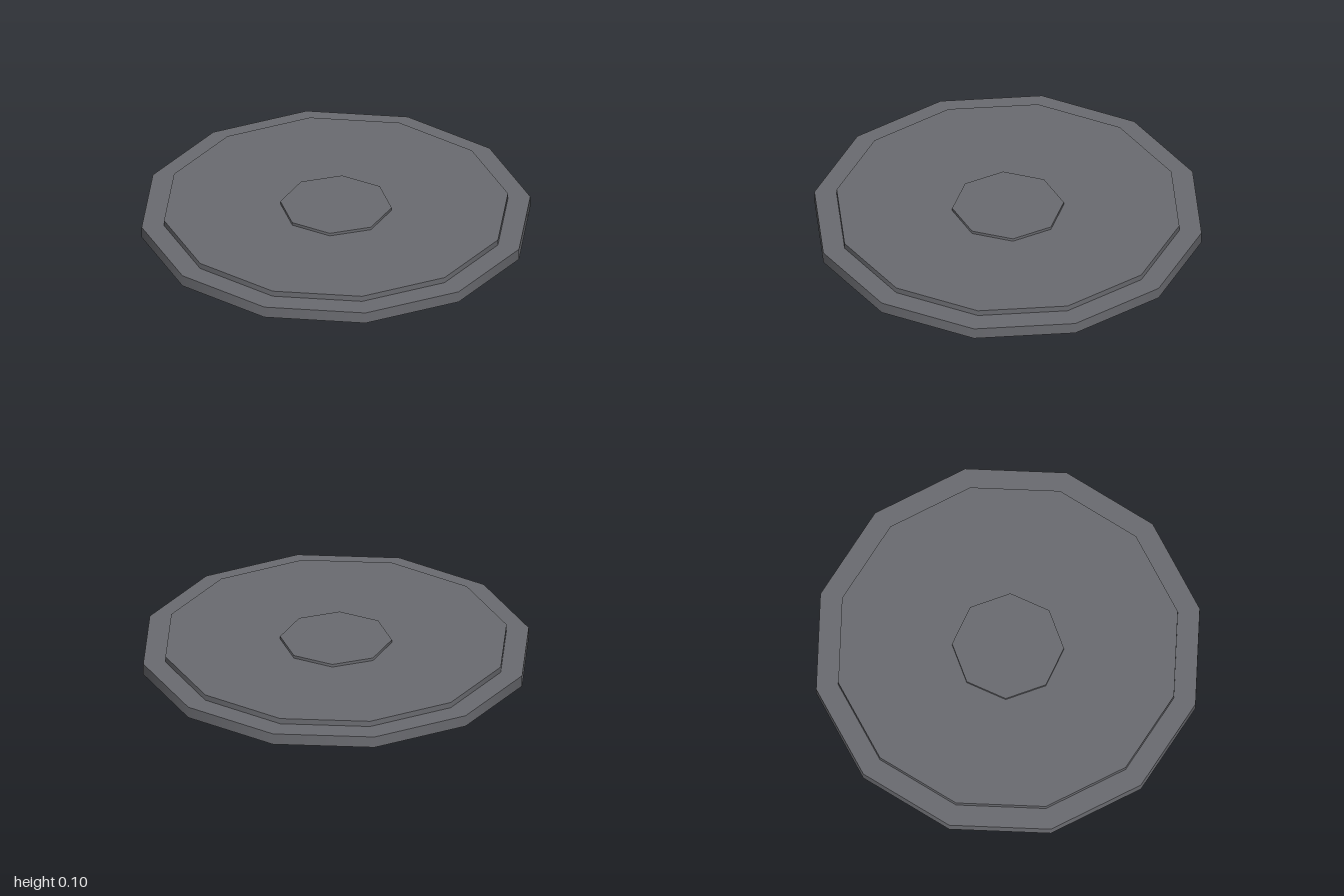
import * as THREE from 'three';

export function createModel() {
  const model = new THREE.Group();
  model.name = 'steppedDisc';
  const material = new THREE.MeshStandardMaterial({ color: 0x6a6b70 });

  // Each tier is a low-sided disc resting on the one below
  const tiers = [
    { name: 'base', radius: 1, height: 0.06, sides: 12 },
    { name: 'raisedPlate', radius: 0.885, height: 0.03, sides: 12 },
    { name: 'centreCap', radius: 0.285, height: 0.015, sides: 8 },
  ];

  let y = 0;
  for (const { name, radius, height, sides } of tiers) {
    const mesh = new THREE.Mesh(new THREE.CylinderGeometry(radius, radius, height, sides), material);
    mesh.name = name;
    mesh.position.y = y + height / 2;
    model.add(mesh);
    y += height;
  }
  return model;
}
